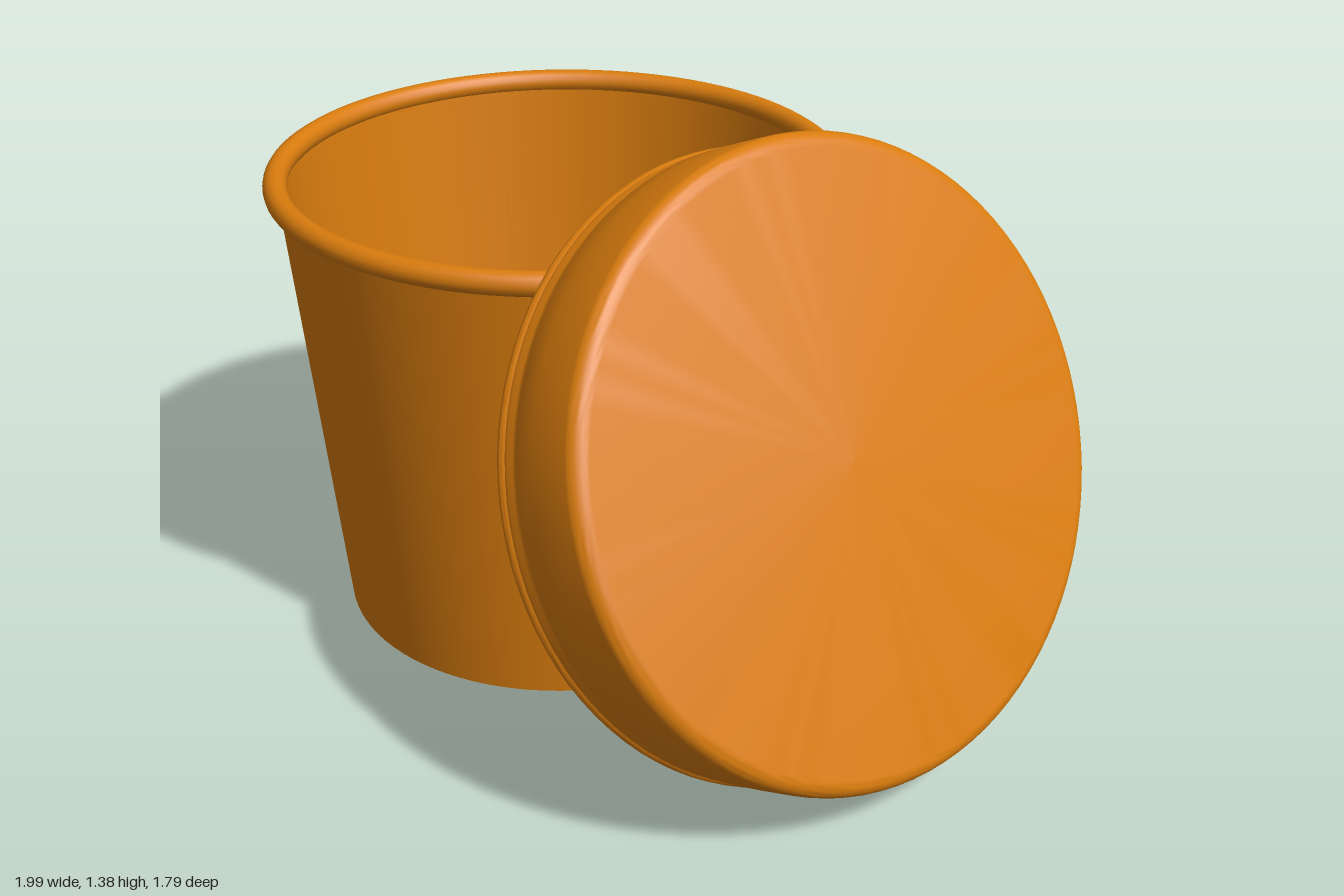
import * as THREE from 'three';
import { toCreasedNormals } from 'three/addons/utils/BufferGeometryUtils.js';

const material = new THREE.MeshStandardMaterial({ color: 0xd97c0e });

// Points along an arc in the (radius, height) plane, angles in degrees
function arc(cx, cy, r, from, to, steps) {
  const pts = [];
  for (let i = 0; i <= steps; i++) {
    const a = THREE.MathUtils.degToRad(from + ((to - from) * i) / steps);
    pts.push([cx + r * Math.cos(a), cy + r * Math.sin(a)]);
  }
  return pts;
}

// Turned part from a closed profile, hard edges kept sharp
function turned(name, profile) {
  const points = profile.map(([r, y]) => new THREE.Vector2(r, y));
  const geometry = toCreasedNormals(new THREE.LatheGeometry(points, 96), 0.55);
  const mesh = new THREE.Mesh(geometry, material);
  mesh.name = name;
  return mesh;
}

export function createModel() {
  const model = new THREE.Group();
  model.name = 'tubWithLid';

  // Tapered tub: recessed base, skirt, outer wall, inner wall, floor
  const tub = new THREE.Group();
  tub.name = 'tub';
  tub.add(turned('tubBody', [
    [0, 0.08], [0.546, 0.08], [0.539, 0.01], [0.551, 0.01],
    [0.655, 1.1], [0.639, 1.1], [0.544, 0.095], [0, 0.095],
  ]));

  // Rolled rim around the mouth
  const rim = new THREE.Mesh(new THREE.TorusGeometry(0.659, 0.028, 16, 96), material);
  rim.name = 'tubRim';
  rim.rotation.x = Math.PI / 2;
  rim.position.y = 1.112;
  tub.add(rim);
  tub.position.set(-0.312, 0, -0.212);
  model.add(tub);

  // Hollow lid: open end at y = 0, flat face with a rounded edge at y = 0.29
  const lid = turned('lid', [
    [0.682, 0.01],
    ...arc(0.686, 0.02, 0.018, -110, 50, 8),
    [0.698, 0.045], [0.693, 0.056], [0.693, 0.068], [0.7, 0.085],
    [0.701, 0.14],
    ...arc(0.662, 0.252, 0.038, 0, 90, 8),
    [0, 0.29], [0, 0.272], [0.662, 0.272],
    [0.682, 0.252], [0.682, 0.01],
  ]);

  // Lid leans on its edge against the tub, face turned outward
  const facing = new THREE.Vector3(0.785, 0.42, 0.45).normalize();
  lid.quaternion.setFromUnitVectors(new THREE.Vector3(0, 1, 0), facing);
  lid.position.set(0.347, 0.64, 0.15);
  model.add(lid);

  return model;
}
